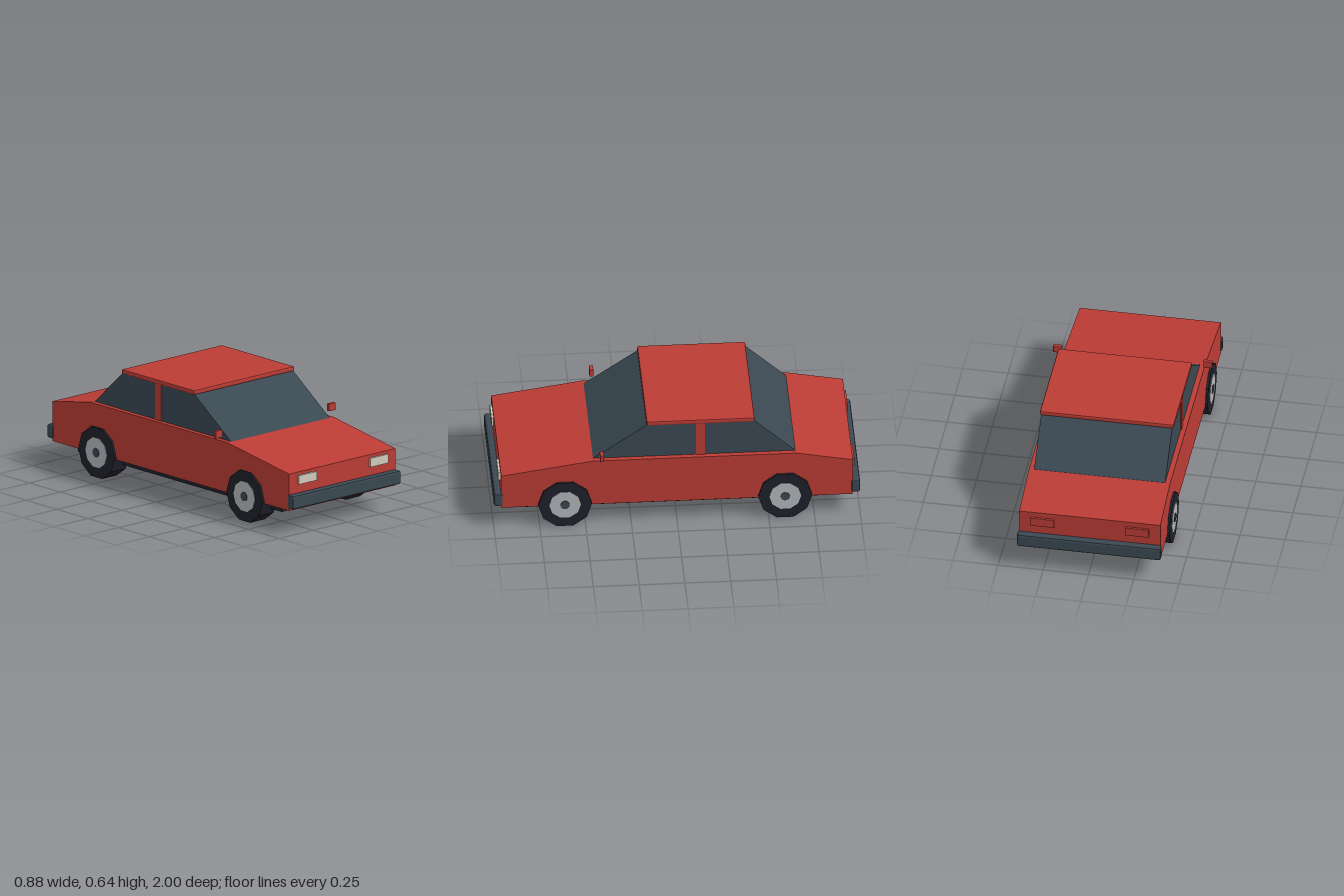
import * as THREE from 'three';
import { RoundedBoxGeometry } from 'three/addons/geometries/RoundedBoxGeometry.js';

function material(name, color) {
  const m = new THREE.MeshStandardMaterial({ color });
  m.name = name;
  return m;
}

// Give every face its own flat normal
function faceted(geometry) {
  const g = geometry.index ? geometry.toNonIndexed() : geometry;
  g.computeVertexNormals();
  return g;
}

// Side profile of [z, y] points, extruded across the car's width
function profile(points, width) {
  const shape = new THREE.Shape(points.map(([z, y]) => new THREE.Vector2(z, y)));
  const g = new THREE.ExtrudeGeometry(shape, { depth: width, bevelEnabled: false });
  g.translate(0, 0, -width / 2);
  g.rotateY(-Math.PI / 2);
  return faceted(g);
}

const box = (w, h, d) => new THREE.BoxGeometry(w, h, d);
const chamferBox = (w, h, d, r) => faceted(new RoundedBoxGeometry(w, h, d, 1, r));
const disc = (r, width) =>
  faceted(new THREE.CylinderGeometry(r, r, width, 10).rotateZ(Math.PI / 2));

export function createModel() {
  const car = new THREE.Group();
  car.name = 'car';

  const red = material('red paint', 0xbb3c35);
  const glass = material('blue grey glass and bumpers', 0x3a4852);
  const dark = material('dark rubber', 0x20202b);
  const silver = material('silver rim', 0xb4b7bb);
  const cream = material('cream lamp', 0xd2cabb);

  function add(parent, name, geometry, mat, x = 0, y = 0, z = 0) {
    const mesh = new THREE.Mesh(geometry, mat);
    mesh.name = name;
    mesh.position.set(x, y, z);
    parent.add(mesh);
    return mesh;
  }

  // Lower body with sloping bonnet and boot
  add(car, 'body', profile([
    [0.96, 0.127], [0.96, 0.335], [0.46, 0.41],
    [-0.65, 0.41], [-0.96, 0.352], [-0.96, 0.127],
  ], 0.78), red);

  // Glass cabin, door pillars and roof
  add(car, 'cabinGlass', profile([
    [0.46, 0.408], [0.155, 0.62], [-0.42, 0.62], [-0.65, 0.408],
  ], 0.724), glass);
  add(car, 'doorPillar', box(0.734, 0.21, 0.05), red, 0, 0.513, -0.13);
  add(car, 'roof', chamferBox(0.74, 0.027, 0.59, 0.008), red, 0, 0.6265, -0.13);

  // Floor pan
  add(car, 'undercarriage', box(0.654, 0.05, 1.655), dark, 0, 0.108, 0.003);

  // Bumpers
  for (const [name, side] of [['frontBumper', 1], ['rearBumper', -1]]) {
    add(car, name, chamferBox(0.796, 0.078, 0.05, 0.012), glass, 0, 0.179, side * 0.975);
  }

  // Paired lamps, mirrors and wheels
  for (const [label, side] of [['left', 1], ['right', -1]]) {
    add(car, label + 'Headlight', box(0.13, 0.05, 0.024), cream, side * 0.262, 0.292, 0.96);
    add(car, label + 'TailLight', box(0.13, 0.05, 0.024), red, side * 0.262, 0.295, -0.96);
    add(car, label + 'Mirror', chamferBox(0.05, 0.042, 0.022, 0.004), red,
      side * 0.415, 0.454, 0.412);

    for (const [end, z] of [['Front', 0.612], ['Rear', -0.59]]) {
      const wheel = new THREE.Group();
      wheel.name = label + end + 'Wheel';
      wheel.position.set(side * 0.35, 0.14, z);
      add(wheel, 'tyre', disc(0.147, 0.106), dark);
      add(wheel, 'rim', disc(0.087, 0.01), silver, side * 0.051);
      add(wheel, 'hub', disc(0.026, 0.01), glass, side * 0.055);
      car.add(wheel);
    }
  }

  return car;
}
